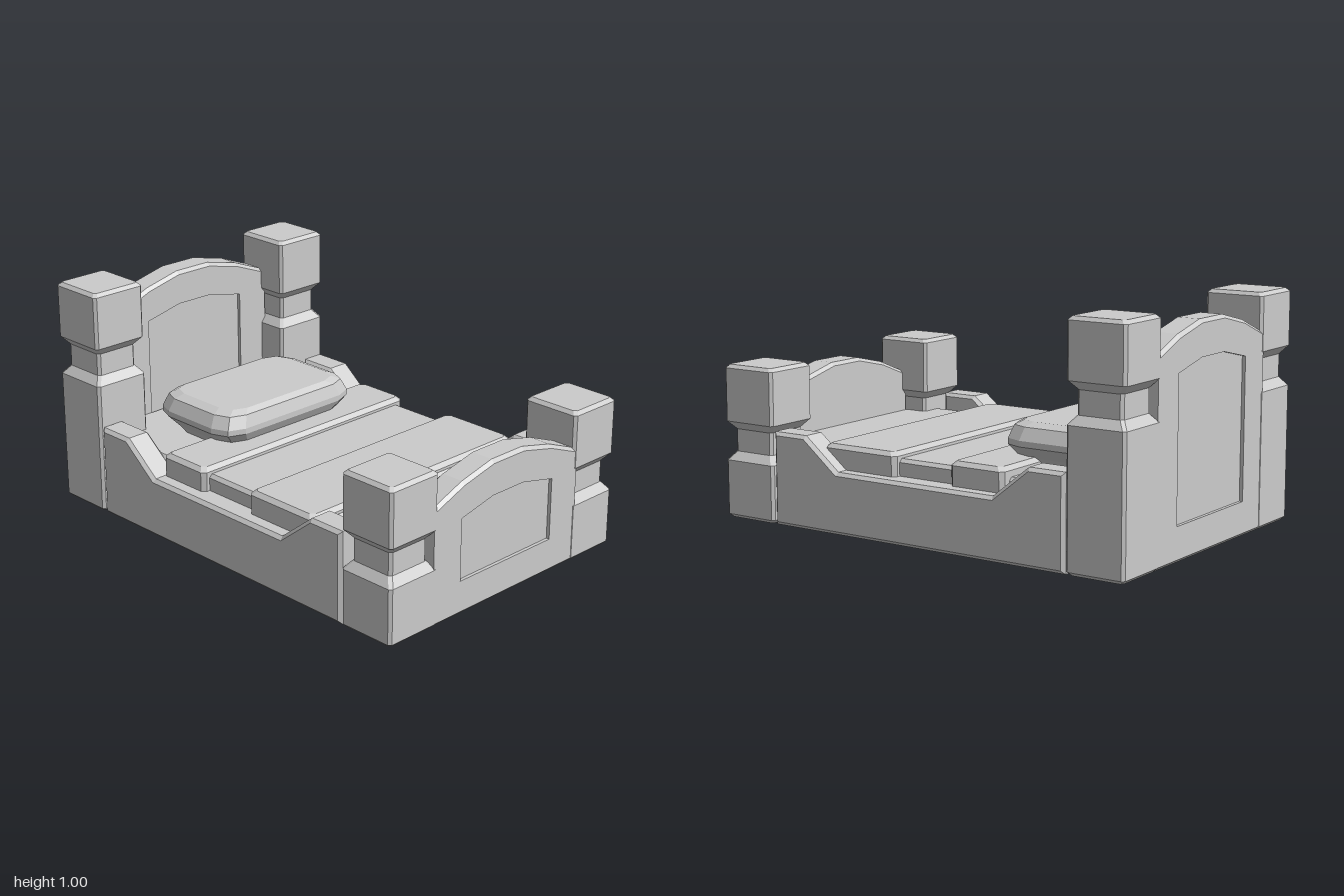
import * as THREE from 'three';

const material = new THREE.MeshStandardMaterial({ color: 0xcccccc, flatShading: true });

// Closed solid through rings of [x, y] points (counter-clockwise), each at its own z
function loft(rings) {
  const n = rings[0].points.length;
  const position = [], index = [];
  for (const { points, z } of rings) for (const [x, y] of points) position.push(x, y, z);
  for (let i = 0; i < rings.length - 1; i++) {
    for (let j = 0; j < n; j++) {
      const a = i * n + j, b = i * n + (j + 1) % n;
      index.push(a, b, b + n, a, b + n, a + n);
    }
  }
  const top = (rings.length - 1) * n;
  for (let j = 1; j < n - 1; j++) {
    index.push(0, j + 1, j, top, top + j, top + j + 1);
  }
  const geometry = new THREE.BufferGeometry();
  geometry.setAttribute('position', new THREE.Float32BufferAttribute(position, 3));
  geometry.setIndex(index);
  const flat = geometry.toNonIndexed();
  flat.computeVertexNormals();
  return flat;
}

// Rectangle with cut corners
function cutRect(w, d, cut) {
  const x = w / 2, y = d / 2;
  return [[x, cut - y], [x, y - cut], [x - cut, y], [cut - x, y],
    [-x, y - cut], [-x, cut - y], [cut - x, -y], [x - cut, -y]];
}

// Upright solid from a list of [height, inset] steps
function upright(w, d, steps, cut) {
  const rings = steps.map(([z, inset]) => ({ z, points: cutRect(w - 2 * inset, d - 2 * inset, cut) }));
  return loft(rings).rotateX(-Math.PI / 2);
}

function chamferBox(w, d, y0, y1, c) {
  return upright(w, d, [[y0, c], [y0 + c, 0], [y1 - c, 0], [y1, c]], c);
}

// Board outline with an arched top, 8 points
function arch(w, bottom, shoulder, middle, crown, midX) {
  return [[-w, bottom], [w, bottom], [w, shoulder], [midX, middle], [0.09, crown],
    [-0.09, crown], [-midX, middle], [-w, shoulder]];
}

// Arched end board with sunken panels on the front and, if wanted, the back
function board(rise, z0, z1, backPanel) {
  const c = 0.015, depth = 0.015;
  const outer = arch(0.425, 0, 0.505 + rise, 0.57 + rise, 0.61 + rise, 0.26);
  const lower = outer.map(([x, y]) => [x, y === 0 ? c : y - c]);
  const panel = arch(0.27, 0.15, 0.42 + rise, 0.44 + rise, 0.46 + rise, 0.18);
  const rings = [
    { points: lower, z: z0 }, { points: outer, z: z0 + c },
    { points: outer, z: z1 - c }, { points: lower, z: z1 },
    { points: panel, z: z1 }, { points: panel, z: z1 - depth },
  ];
  if (backPanel) rings.unshift({ points: panel, z: z0 + depth }, { points: panel, z: z0 });
  return loft(rings);
}

// Side rail with raised ends
function rail() {
  const b = 0.015, width = 0.125;
  const shape = new THREE.Shape([
    [-0.73, 0], [0.73, 0], [0.73, 0.4], [0.56, 0.4],
    [0.39, 0.265], [-0.39, 0.265], [-0.56, 0.4], [-0.73, 0.4],
  ].map(([x, y]) => new THREE.Vector2(x, y)));
  const geometry = new THREE.ExtrudeGeometry(shape, {
    depth: width - 2 * b, bevelEnabled: true, bevelSegments: 1,
    bevelSize: b, bevelThickness: b, bevelOffset: -b,
  });
  return geometry.translate(0, 0, b - width / 2).rotateY(Math.PI / 2);
}

// Pillow: cut-corner cushion bulging at the middle
function pillow() {
  const quarter = [[0.385, 0.14], [0.355, 0.215], [0.28, 0.245]];
  const half = [...quarter, ...quarter.map(([x, y]) => [-x, y]).reverse()];
  const outline = [...half, ...half.map(([x, y]) => [-x, -y])];
  const steps = [[0.32, 0.8], [0.36, 0.88], [0.41, 1], [0.435, 1], [0.488, 0.93], [0.505, 0.82]];
  return loft(steps.map(([z, s]) => ({ z, points: outline.map(([x, y]) => [x * s, y * s]) })))
    .rotateX(-Math.PI / 2);
}

export function createModel() {
  const model = new THREE.Group();
  model.name = 'bed';
  const add = (name, geometry, x = 0, z = 0) => {
    const mesh = new THREE.Mesh(geometry, material);
    mesh.name = name;
    mesh.position.set(x, 0, z);
    model.add(mesh);
  };

  // Posts: block, narrow neck, block
  const post = (neckLow, neckHigh, top) => upright(0.26, 0.265, [
    [0, 0.015], [0.015, 0], [neckLow - 0.037, 0], [neckLow, 0.03],
    [neckHigh, 0.03], [neckHigh + 0.035, 0], [top - 0.015, 0], [top, 0.015],
  ], 0.012);
  for (const [side, s] of [['left', 1], ['right', -1]]) {
    add(side + 'HeadPost', post(0.622, 0.72, 1), s * 0.535, -0.8675);
    add(side + 'FootPost', post(0.288, 0.385, 0.665), s * 0.535, 0.8675);
    add(side + 'Rail', rail(), s * 0.6, 0);
  }

  // End boards
  add('headboard', board(0.335, -0.998, -0.87, true));
  add('footboard', board(0, 0.87, 0.998, false));

  // Bedding
  add('mattress', chamferBox(1.1, 1.77, 0.08, 0.322, 0.015));
  add('blanket', chamferBox(1.13, 0.87, 0.2, 0.337, 0.015), 0, 0.09);
  add('lowerBlanketFold', chamferBox(1.195, 0.375, 0.2, 0.367, 0.018), 0, 0.322);
  add('upperBlanketFold', chamferBox(1.195, 0.26, 0.2, 0.367, 0.018), 0, -0.27);
  add('pillow', pillow(), 0, -0.472);

  return model;
}
